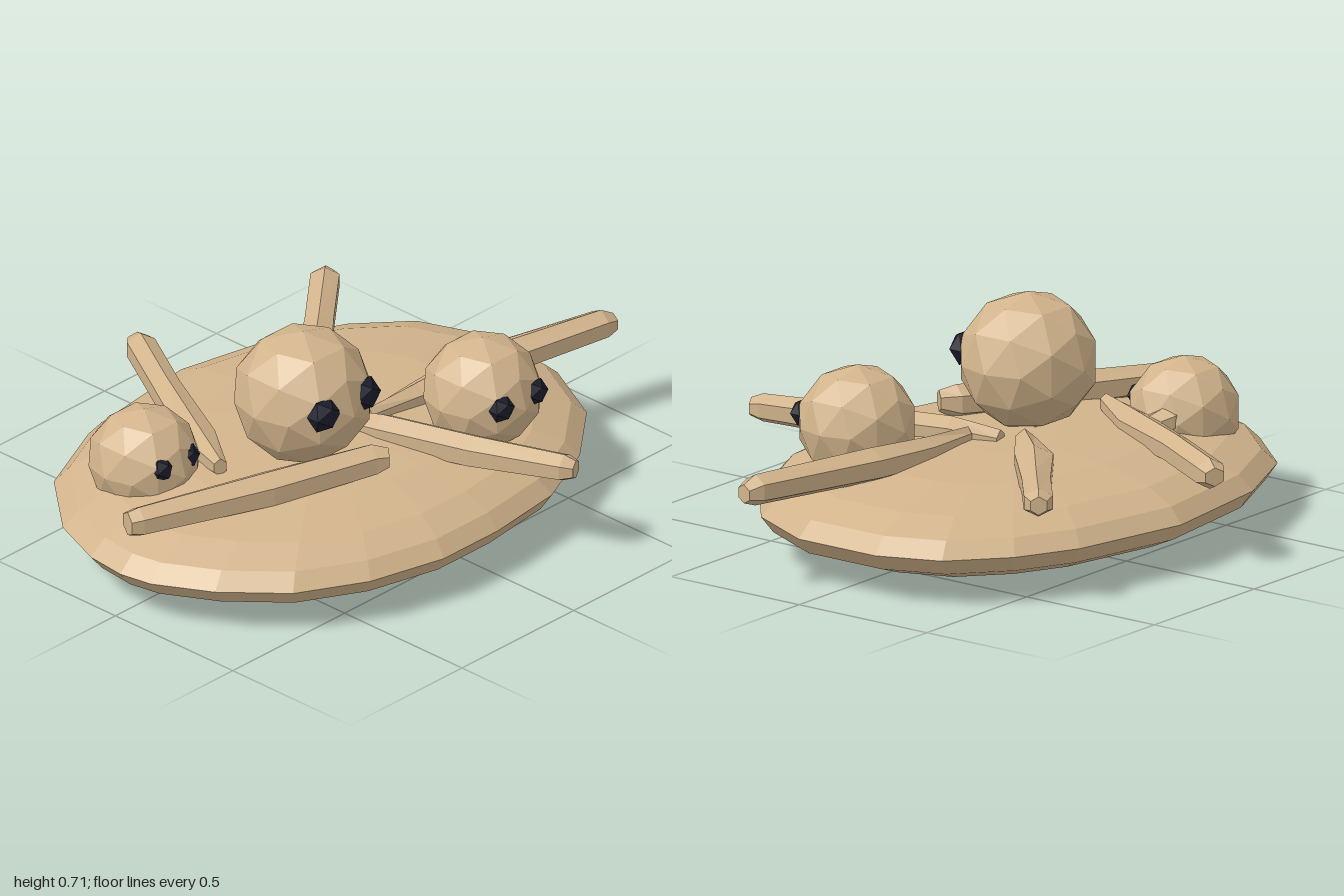
import * as THREE from 'three';

const tan = new THREE.MeshStandardMaterial({ color: 0xd2b48c });
tan.name = 'tan';
const dark = new THREE.MeshStandardMaterial({ color: 0x1b1d2b });
dark.name = 'dark navy';

// Faceted skin through rings of points, closed at both ends.
function loft(rings) {
  const pos = [];
  const tri = (...pts) => pts.forEach((p) => pos.push(...p));
  const mid = (ring) => [0, 1, 2].map((k) => ring.reduce((s, p) => s + p[k], 0) / ring.length);
  const n = rings[0].length;
  const first = rings[0], last = rings[rings.length - 1];
  for (let i = 0; i < n; i++) {
    const j = (i + 1) % n;
    for (let r = 0; r + 1 < rings.length; r++) {
      const a = rings[r], b = rings[r + 1];
      tri(a[i], a[j], b[j]);
      tri(a[i], b[j], b[i]);
    }
    tri(mid(first), first[j], first[i]);
    tri(mid(last), last[i], last[j]);
  }
  const g = new THREE.BufferGeometry();
  g.setAttribute('position', new THREE.Float32BufferAttribute(pos, 3));
  g.computeVertexNormals();
  return g;
}

function add(parent, name, geometry, material) {
  const mesh = new THREE.Mesh(geometry, material);
  mesh.name = name;
  parent.add(mesh);
  return mesh;
}

// Low-poly ball with flat faces.
function ball(radius, detail) {
  const g = new THREE.IcosahedronGeometry(radius, detail);
  g.computeVertexNormals();
  return g;
}

// Six-sided branch; each station is [x, y, z, half width, half height].
function branch(stations) {
  return loft(stations.map(([x, y, z, w, h], i) => {
    const p = stations[Math.max(i - 1, 0)];
    const q = stations[Math.min(i + 1, stations.length - 1)];
    const dx = q[0] - p[0], dz = q[2] - p[2], len = Math.hypot(dx, dz);
    return Array.from({ length: 6 }, (_, k) => {
      const a = (k + 0.5) * Math.PI / 3;
      const s = Math.cos(a) * w * 1.15;
      return [x + s * dz / len, y + Math.sin(a) * h, z - s * dx / len];
    });
  }));
}

export function createModel() {
  const model = new THREE.Group();

  // Flat domed base
  const outline = [
    [-1, 0.02], [-0.98, 0.13], [-0.88, 0.31], [-0.72, 0.49], [-0.5, 0.61], [-0.24, 0.675],
    [0, 0.675], [0.28, 0.64], [0.52, 0.53], [0.73, 0.36], [0.85, 0.12], [0.85, -0.18],
    [0.77, -0.38], [0.6, -0.53], [0.4, -0.63], [0, -0.715], [-0.43, -0.66], [-0.72, -0.53],
    [-0.91, -0.31], [-0.985, -0.12],
  ];
  const levels = [
    [0.2, 0], [0.42, 0.015], [0.82, 0.058], [0.95, 0.1], [1, 0.155],
    [0.94, 0.205], [0.81, 0.25], [0.55, 0.285], [0.2, 0.3],
  ];
  add(model, 'base', loft(levels.map(([s, y]) =>
    outline.map(([x, z]) => [-0.06 + (x + 0.06) * s, y, z * s]))), tan);

  // Balls with a pair of eyes on the front
  const balls = [
    { name: 'largeBall', at: [-0.225, 0.495, 0.06], r: 0.22, eyes: [-0.315, -0.135], y: 0.525, z: 0.235, e: 0.06 },
    { name: 'mediumBall', at: [0.325, 0.375, 0.3], r: 0.188, eyes: [0.25, 0.4], y: 0.4, z: 0.455, e: 0.046 },
    { name: 'smallBall', at: [-0.61, 0.3, -0.25], r: 0.177, eyes: [-0.67, -0.555], y: 0.34, z: -0.115, e: 0.043 },
  ];
  for (const b of balls) {
    const group = new THREE.Group();
    group.name = b.name;
    model.add(group);
    add(group, 'ballBody', ball(b.r, 1), tan).position.set(...b.at);
    for (const x of b.eyes) {
      const eye = add(group, 'eye', ball(b.e, 0), dark);
      eye.position.set(x, b.y, b.z);
      eye.scale.z = 0.75;
    }
  }

  // Branches lying over the base, from inner end to tip
  const branches = {
    backLeftBranch: [[-0.04, 0.29, -0.07, 0.03, 0.05], [0.13, 0.3, -0.24, 0.06, 0.055],
      [0.35, 0.31, -0.42, 0.045, 0.05], [0.55, 0.33, -0.585, 0.045, 0.045], [0.58, 0.33, -0.61, 0.025, 0.03]],
    backRightBranch: [[-0.5, 0.31, -0.03, 0.02, 0.03], [-0.4, 0.29, -0.22, 0.055, 0.055],
      [-0.25, 0.3, -0.5, 0.045, 0.05], [-0.11, 0.3, -0.74, 0.045, 0.05], [-0.085, 0.3, -0.78, 0.03, 0.03]],
    leftBranch: [[0.05, 0.3, 0.08, 0.015, 0.04], [0.25, 0.3, 0.09, 0.04, 0.05],
      [0.5, 0.315, 0.11, 0.06, 0.055], [0.95, 0.32, 0.21, 0.045, 0.05], [0.995, 0.315, 0.22, 0.027, 0.03]],
    frontBranch: [[-0.01, 0.29, 0, 0.03, 0.04], [0.03, 0.3, 0.16, 0.05, 0.055],
      [0.12, 0.305, 0.46, 0.05, 0.055], [0.22, 0.32, 0.75, 0.043, 0.045], [0.235, 0.32, 0.785, 0.028, 0.03]],
    rightBranch: [[-0.13, 0.335, 0.335, 0.03, 0.035], [-0.17, 0.33, 0.3, 0.045, 0.055],
      [-0.5, 0.31, 0.17, 0.055, 0.06], [-0.9, 0.295, 0.005, 0.042, 0.05], [-0.935, 0.295, -0.01, 0.035, 0.04]],
    twig: [[-0.58, 0.33, -0.29, 0.05, 0.04], [-0.46, 0.31, -0.29, 0.045, 0.04], [-0.38, 0.29, -0.26, 0.03, 0.03]],
  };
  for (const [name, stations] of Object.entries(branches)) add(model, name, branch(stations), tan);

  return model;
}
